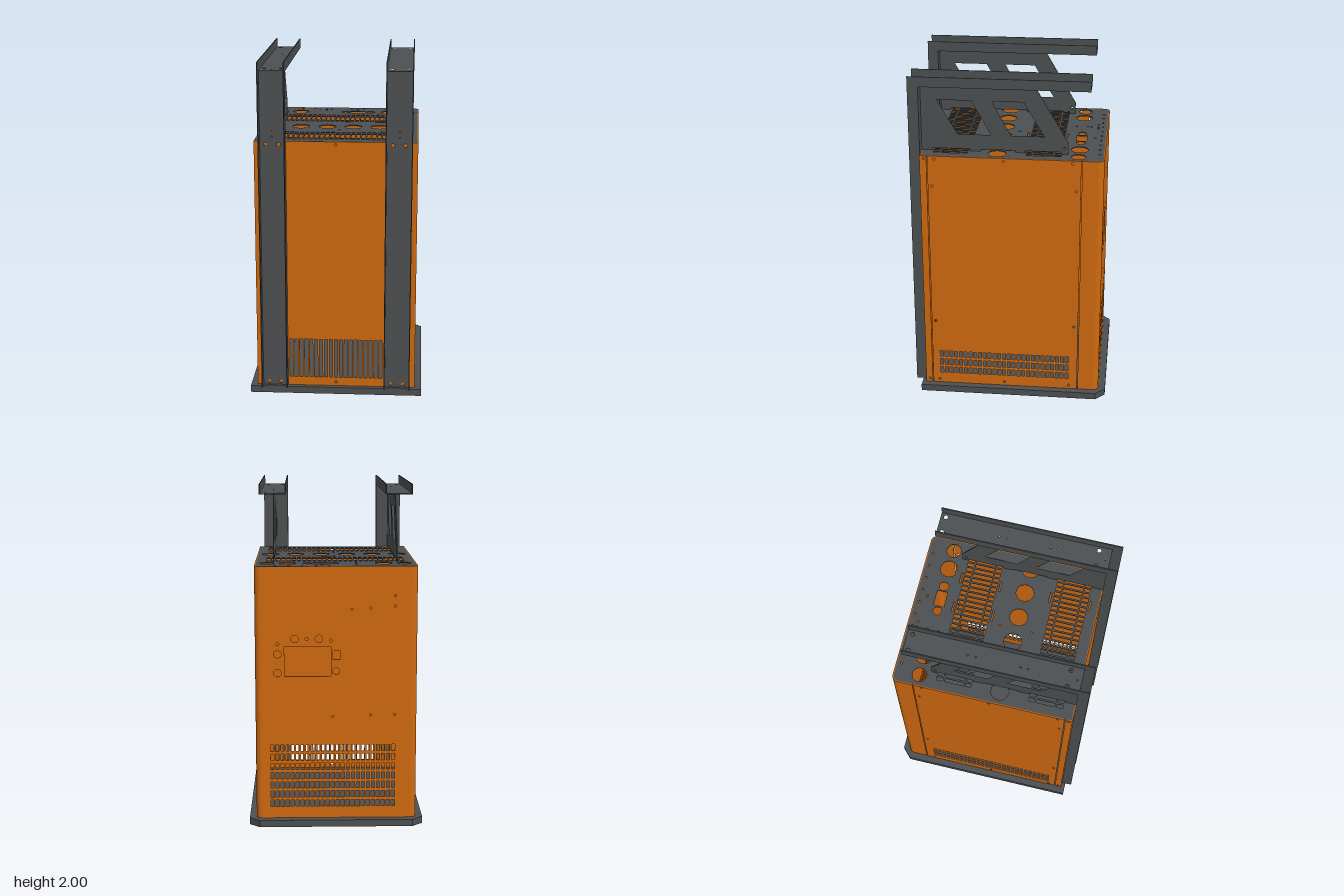
import * as THREE from 'three';

const T = 0.006; // sheet thickness
const dark = new THREE.MeshStandardMaterial({ color: 0x4d5052 });
const orange = new THREE.MeshStandardMaterial({ color: 0xd06a10 });

// Outline helpers, all returning lists of [u, v]
const rect = (u0, u1, v0, v1) => [[u0, v0], [u1, v0], [u1, v1], [u0, v1]];
const disc = (u, v, r, n = r > 0.015 ? 28 : 10) =>
  Array.from({ length: n }, (_, i) => {
    const a = (i / n) * Math.PI * 2;
    return [u + r * Math.cos(a), v + r * Math.sin(a)];
  });
const arc = (u, v, r, a0, a1, n = 8) =>
  Array.from({ length: n + 1 }, (_, i) => {
    const a = a0 + ((a1 - a0) * i) / n;
    return [u + r * Math.cos(a), v + r * Math.sin(a)];
  });

// Row of upright slots centred on c, between v0 and v1
function slotRow(count, v0, v1, c = 0, pitch = 0.0295, width = 0.019) {
  return Array.from({ length: count }, (_, i) => {
    const u = c + (i - (count - 1) / 2) * pitch;
    return rect(u - width / 2, u + width / 2, v0, v1);
  });
}

// Sheet cut from an outline. Planes: 'front' (x, y), 'side' (z, y), 'top' (x, z).
// 'at' is the sheet's lower coordinate along its normal.
function sheet(parent, name, material, plane, at, outline, holes = [], depth = T) {
  const map = {
    front: ([u, v]) => new THREE.Vector2(u, v),
    side: ([u, v]) => new THREE.Vector2(-u, v),
    top: ([u, v]) => new THREE.Vector2(u, -v),
  }[plane];
  const shape = new THREE.Shape(outline.map(map));
  shape.holes = holes.map((h) => new THREE.Path(h.map(map)));
  const geo = new THREE.ExtrudeGeometry(shape, { depth, bevelEnabled: false });
  if (plane === 'side') geo.rotateY(Math.PI / 2).translate(at, 0, 0);
  else if (plane === 'top') geo.rotateX(-Math.PI / 2).translate(0, at, 0);
  else geo.translate(0, 0, at);
  const mesh = new THREE.Mesh(geo, material);
  mesh.name = name;
  parent.add(mesh);
  return mesh;
}

const Y0 = 0.047, Y1 = 1.54;       // cabinet bottom and top
const X = 0.47, ZF = 0.52, ZB = -0.54, R = 0.035;

function buildBase(g) {
  const outline = [[-0.51, 0.545], [0.51, 0.545], [0.51, -0.525], [0.45, -0.582], [-0.45, -0.582], [-0.51, -0.525]];
  const holes = [disc(0.005, -0.385, 0.025)];
  for (const x of [-0.4, 0.4]) for (const z of [-0.45, 0.42]) holes.push(disc(x, z, 0.008));
  sheet(g, 'base', dark, 'top', 0.004, outline, holes, 0.041);
}

function buildCabinet(g) {
  // Front cover with long vent slots and folded side edges
  sheet(g, 'frontPanel', orange, 'front', ZF - T, rect(-X, X, Y0, Y1),
    [...slotRow(27, 0.1, 0.34), disc(0, 1.523, 0.007), disc(0, 0.07, 0.007)]);
  for (const s of [-1, 1])
    sheet(g, 'frontPanelEdge', orange, 'side', s > 0 ? X - T : -X, rect(0.48, ZF - T, Y0, Y1),
      [disc(0.497, 1.523, 0.007), disc(0.497, 0.07, 0.007)]);

  // Side panels with three rows of vents
  const sideHoles = [0, 1, 2].flatMap((i) => slotRow(27, 0.117 + i * 0.056, 0.155 + i * 0.056, 0.037));
  for (const z of [0.435, 0.035, -0.36]) for (const y of [0.07, 1.523]) sideHoles.push(disc(z, y, 0.007));
  for (const z of [0.452, -0.385]) for (const y of [0.475, 1.355]) sideHoles.push(disc(z, y, 0.007));
  for (const s of [-1, 1])
    sheet(g, 'sidePanel', orange, 'side', s > 0 ? X - T : -X, rect(-0.41, 0.475, Y0, Y1), sideHoles);

  // Back panel with control opening, sockets and vent grid
  const backHoles = Array.from({ length: 7 }, (_, i) => slotRow(25, 0.117 + i * 0.056, 0.155 + i * 0.056, 0.02)).flat();
  backHoles.push(rect(0.03, 0.3, 0.9, 1.075), rect(-0.025, 0.02, 1.0, 1.05));
  for (const [x, y, r] of [[0.34, 1.03, 0.022], [0.34, 0.92, 0.022], [0.24, 1.12, 0.022], [0.1, 1.12, 0.022],
    [0.17, 1.12, 0.01], [0, 0.93, 0.02], [0.34, 1.09, 0.01], [0.03, 1.11, 0.01],
    [-0.09, 1.29, 0.007], [-0.2, 1.3, 0.007], [-0.34, 1.37, 0.007], [-0.34, 1.31, 0.007],
    [0.02, 0.66, 0.007], [-0.2, 0.67, 0.007], [-0.34, 0.67, 0.007]])
    backHoles.push(disc(x, y, r));
  sheet(g, 'backPanel', orange, 'front', ZB, rect(-X + R, X - R, Y0, Y1), backHoles);

  // Rounded back corners that wrap onto the sides
  for (const s of [-1, 1]) {
    const cz = ZB + R, cx = X - R;
    const outer = [[X, -0.415], ...arc(cx, cz, R, 0, -Math.PI / 2)];
    const inner = [...arc(cx, cz, R - T, -Math.PI / 2, 0), [X - T, -0.415]];
    sheet(g, 'backCorner', orange, 'top', Y0, [...outer, ...inner].map(([x, z]) => [s * x, z]), [], Y1 - Y0);
  }
}

function buildTopPlate(g) {
  const x = X - T, cz = ZB + R, cx = X - R, r = R - T;
  const outline = [[-x, ZF - T], [x, ZF - T], ...arc(cx, cz, r, 0, -Math.PI / 2), ...arc(-cx, cz, r, -Math.PI / 2, -Math.PI)];
  // Slot banks
  const holes = [[-0.29, -0.252], [-0.242, -0.128], [-0.12, -0.088], [0.25, 0.284], [0.293, 0.405], [0.414, 0.45]]
    .flatMap(([a, b]) => slotRow(27, a, b, 0, 0.0305, 0.02));
  // Round openings
  for (const u of [-0.39, -0.235, -0.078, 0.078, 0.235, 0.39]) holes.push(disc(u, 0.08, 0.052));
  for (const s of [-1, 1]) holes.push(disc(s * 0.28, -0.39, 0.05), disc(s * 0.4, -0.39, 0.042));
  holes.push(disc(0.005, -0.39, 0.025), disc(0.165, -0.39, 0.027), rect(0.038, 0.132, -0.422, -0.36));
  // Narrow slits
  for (const [u, v] of [[0.05, -0.307], [0.24, -0.307], [0.05, -0.07], [0.24, -0.07], [0.24, 0.23], [0.24, 0.467]])
    holes.push(rect(u - 0.032, u + 0.032, v - 0.004, v + 0.004));
  // Screw holes
  for (let i = 0; i < 10; i++) holes.push(disc(-0.355 + i * 0.0785, -0.508, 0.007));
  for (const [u, v] of [[-0.165, -0.482], [-0.12, -0.482], [-0.088, -0.482], [-0.12, -0.44], [-0.12, -0.418],
    [-0.12, -0.35], [0.08, -0.47], [0, -0.015], [0, 0.175]]) holes.push(disc(u, v, 0.007));
  sheet(g, 'topPlate', dark, 'top', Y1 - T, outline, holes);
}

// One upright channel turning into a top rail, braced by a plate
function buildFrame(g, s) {
  const frame = new THREE.Group();
  frame.name = s > 0 ? 'leftFrame' : 'rightFrame';
  g.add(frame);
  const xi = 0.286, xo = 0.44, xm = (xi + xo) / 2;
  const at = (x) => (s > 0 ? x : -x - T);
  const span = (y0, y1) => rect(s * xi, s * xo, y0, y1);

  // Flanges shared by the post and the rail
  const flange = [[0.584, 0.05], [0.584, 2], [-0.455, 2], [-0.455, 1.943], [0.524, 1.943], [0.524, 0.05]];
  for (const x of [xi, xo - T]) sheet(frame, 'channelFlange', dark, 'side', at(x), flange);

  // Post web with bolt holes
  const postHoles = [1.57, 1.605].map((y) => disc(s * xm, y, 0.004));
  for (const x of [xm - 0.036, xm + 0.036]) for (const y of [0.07, 1.523]) postHoles.push(disc(s * x, y, 0.011));
  sheet(frame, 'postWeb', dark, 'front', 0.522, span(0.05, 1.947), postHoles);

  // Rail web with mounting holes
  const railHoles = [-0.105, -0.06, 0.19, 0.23, 0.503].map((z) => disc(s * xm, z, 0.004));
  for (const x of [0.316, 0.41]) for (const z of [-0.425, 0.457]) railHoles.push(disc(s * x, z, 0.012));
  sheet(frame, 'railWeb', dark, 'top', 1.941, span(-0.455, 0.526), railHoles);

  // Brace plate with two slanted windows and notched feet
  const brace = [[0.522, 1.94], [-0.135, 1.94], [-0.328, 1.61], [-0.328, 1.54], [-0.29, 1.54], [-0.29, 1.552],
    [-0.08, 1.552], [-0.08, 1.54], [-0.025, 1.54], [-0.025, 1.552], [0.18, 1.552], [0.18, 1.54],
    [0.24, 1.54], [0.24, 1.552], [0.46, 1.552], [0.46, 1.54], [0.522, 1.54]];
  sheet(frame, 'brace', dark, 'side', at(xm - T / 2), brace, [
    [[0.43, 1.845], [0.23, 1.845], [0.117, 1.642], [0.31, 1.642]],
    [[0.112, 1.845], [-0.07, 1.845], [-0.19, 1.642], [0.003, 1.642]],
    disc(-0.305, 1.575, 0.008)]);

  // Foot tab linking the post to the base
  const foot = new THREE.Mesh(new THREE.BoxGeometry(0.11, 0.008, 0.03), dark);
  foot.position.set(s * xm, 0.046, 0.53);
  foot.name = 'footTab';
  frame.add(foot);
}

export function createModel() {
  const model = new THREE.Group();
  model.name = 'cabinet';
  buildBase(model);
  buildCabinet(model);
  buildTopPlate(model);
  for (const s of [-1, 1]) buildFrame(model, s);
  return model;
}
